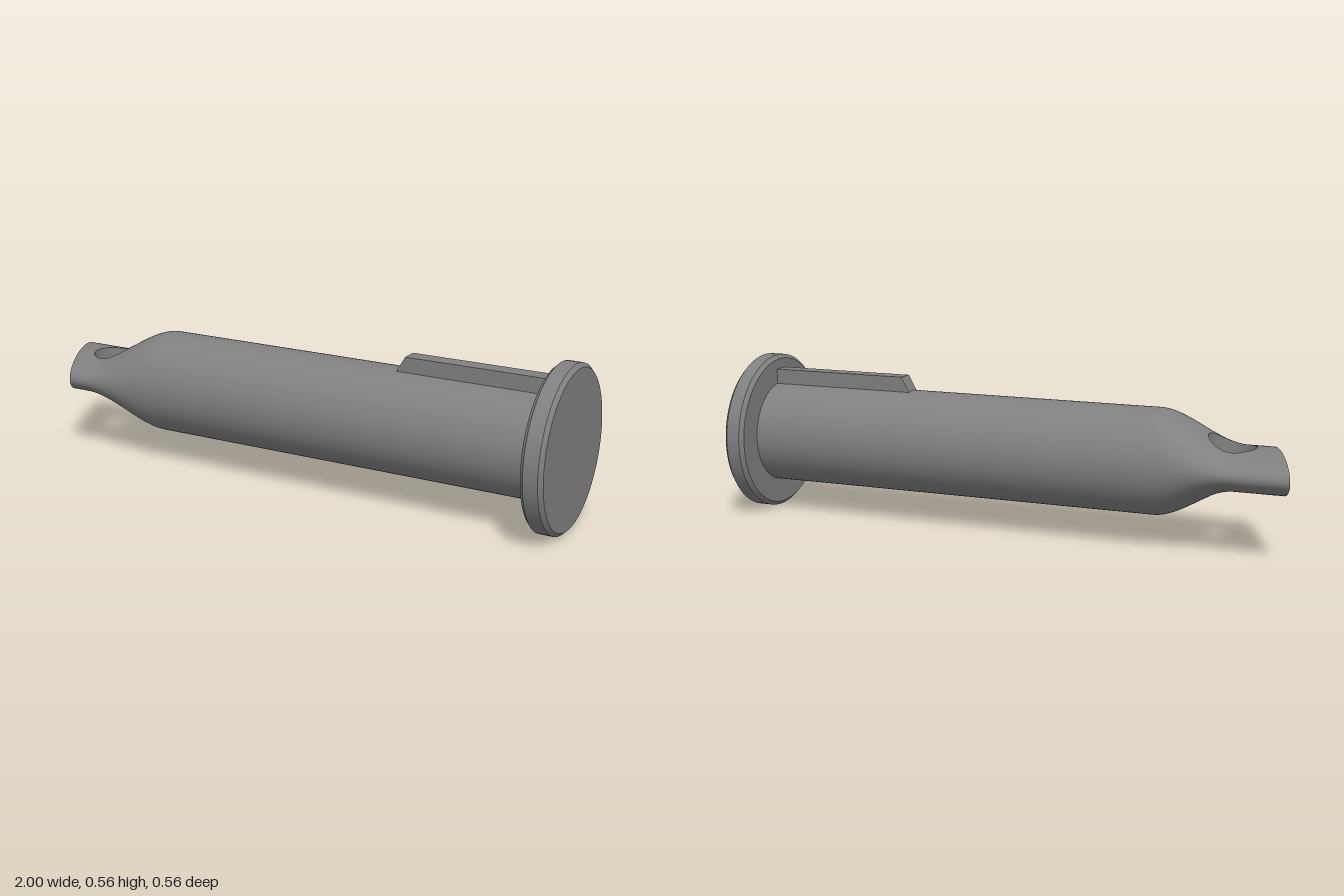
import * as THREE from 'three';
import { mergeGeometries, mergeVertices } from 'three/addons/utils/BufferGeometryUtils.js';

const R = 0.18, AXIS_Y = 0.28;          // shaft radius and axis height
const TIP_X = -0.46, HOLE_X = -0.77, HOLE_R = 0.08;

// Half thickness of the pin along its length: round shaft down to flattened tip
const halfHeight = (x) => 0.07 + (R - 0.07) * THREE.MathUtils.smoothstep(x, -0.8, -0.515);
// Slanted end cut
const cutX = (z) => -0.925 + (z / R) * 0.075;

// Indexed surface through rows of points
function grid(rows) {
  const n = rows[0].length, index = [];
  for (let r = 0; r < rows.length - 1; r++) {
    for (let c = 0; c < n - 1; c++) {
      const a = r * n + c, b = a + 1, d = a + n, e = d + 1;
      index.push(a, b, d, b, e, d);
    }
  }
  const g = new THREE.BufferGeometry();
  g.setAttribute('position', new THREE.Float32BufferAttribute(rows.flat(2), 3));
  g.setIndex(index);
  return g;
}

function smooth(geometry) {
  const g = mergeVertices(geometry, 1e-5);
  g.computeVertexNormals();
  return g;
}

// Flattened tip: rings spread from the cross hole to the outline, in (x, section angle)
function tipGeometries() {
  const N = 32, RINGS = 24, Q = Math.PI / 2, outline = [];
  const endL = cutX(-R), endR = cutX(R), lerp = THREE.MathUtils.lerp;
  for (let i = 0; i < N; i++) outline.push([TIP_X, lerp(-Q, Q, i / N)]);
  for (let i = 0; i < N; i++) outline.push([lerp(TIP_X, endR, i / N), Q]);
  for (let i = 0; i < N; i++) {
    const s = lerp(Q, -Q, i / N);
    outline.push([cutX(R * Math.sin(s)), s]);
  }
  for (let i = 0; i <= N; i++) outline.push([lerp(endL, TIP_X, i / N), -Q]);
  outline.push(outline[0]);

  const ring = (t, side) => outline.map(([ox, os]) => {
    const a = Math.atan2(R * os, ox - HOLE_X);
    const x = lerp(HOLE_X + HOLE_R * Math.cos(a), ox, t);
    const s = lerp(Math.asin(HOLE_R * Math.sin(a) / R), os, t);
    return [x, side * halfHeight(x) * Math.cos(s), R * Math.sin(s)];
  });
  const rings = (side) => Array.from({ length: RINGS + 1 }, (_, k) => ring(k / RINGS, side));
  const top = rings(1), bottom = rings(-1);
  const cut = (rows) => rows[RINGS].slice(2 * N, 3 * N + 1).reverse();
  return {
    skin: smooth(mergeGeometries([grid(top), grid(bottom.slice().reverse())])),
    hole: smooth(grid([bottom[0], top[0]])),
    endFace: smooth(grid([cut(bottom), cut(top)])),
  };
}

export function createModel() {
  const group = new THREE.Group();
  const steel = new THREE.MeshStandardMaterial({ color: 0x808080 });
  steel.name = 'grey steel';
  const add = (name, geometry, x = 0, y = AXIS_Y) => {
    const mesh = new THREE.Mesh(geometry, steel);
    mesh.name = name;
    mesh.position.set(x, y, 0);
    group.add(mesh);
    return mesh;
  };

  // Round shaft
  const shaft = new THREE.CylinderGeometry(R, R, 0.93 - TIP_X, 64, 1, true).rotateZ(-Math.PI / 2);
  add('shaft', shaft, (0.93 + TIP_X) / 2);

  // Flattened tip with cross hole
  const tip = tipGeometries();
  add('tip', tip.skin);
  add('crossHole', tip.hole);
  add('tipEndFace', tip.endFace);

  // Head disc with bevelled rims, each band with its own normals
  const D = 0.279, B = 0.013, X0 = 0.925, X1 = 1;
  const profile = [[0, X0], [D - B, X0], [D, X0 + B], [D, X1 - B], [D - B, X1], [0, X1]];
  const bands = profile.slice(1).map((p, i) =>
    new THREE.LatheGeometry([profile[i], p].map(([r, x]) => new THREE.Vector2(r, x)), 80));
  add('head', mergeGeometries(bands).rotateZ(-Math.PI / 2));

  // Key rib with sloped front end
  const side = new THREE.Shape([[0.38, 0.44], [0.93, 0.44], [0.93, 0.51], [0.42, 0.51]]
    .map(([x, y]) => new THREE.Vector2(x, y)));
  const rib = new THREE.ExtrudeGeometry(side, { depth: 0.06, bevelEnabled: false });
  add('keyRib', rib.translate(0, 0, -0.03), 0, 0);

  return group;
}
